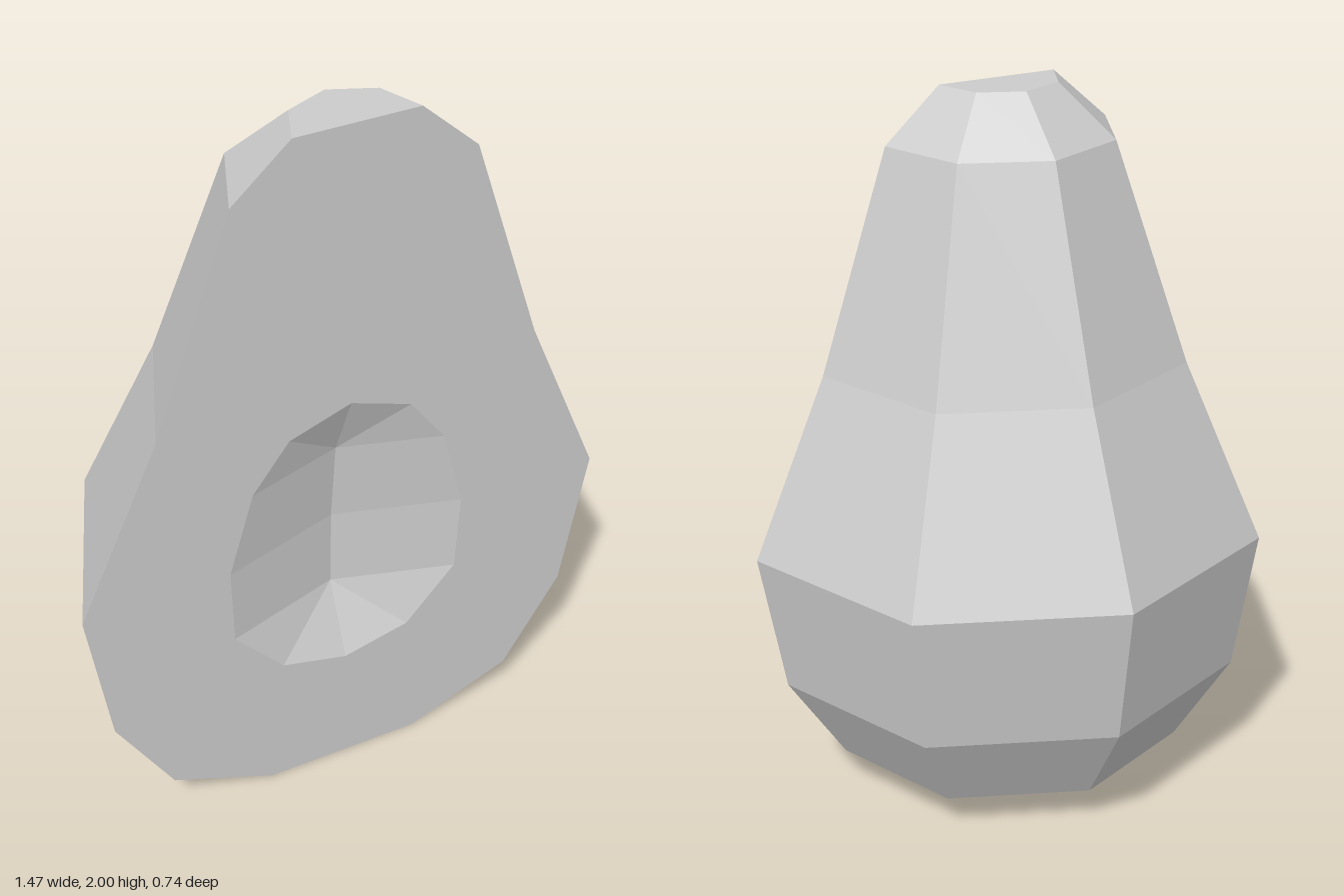
import * as THREE from 'three';

const FRONT = 0.365; // z of the flat cut face

// Radius and height of each ring of the fruit, bottom to top
const PROFILE = [[0.22, 0], [0.51, 0.12], [0.67, 0.38], [0.735, 0.78], [0.52, 1.27], [0.32, 1.86], [0.165, 2]];
// One half of the pit hollow's rim, top to bottom
const RIM = [[0, 1.215], [0.17, 1.155], [0.27, 1.02], [0.335, 0.785], [0.325, 0.56], [0.185, 0.405], [0, 0.36]];

// Closed outline: one side down the list, the mirrored side back
function mirroredOutline(points) {
  const left = points.map(([x, y]) => new THREE.Vector2(x, y));
  const right = points.filter(([x]) => x > 0).map(([x, y]) => new THREE.Vector2(-x, y)).reverse();
  return left.concat(right);
}

// Shallow hollow: facets run from the rim to a central crease
function hollowGeometry() {
  const crease = [2, 2, 2, 3, 4, 4, 4]; // rim row whose crease point each rim point joins
  const rim = (i) => [RIM[i][0], RIM[i][1], FRONT];
  const deep = (k) => [0, RIM[k][1], FRONT - 0.29 * RIM[k][0]];
  const positions = [];
  const addTriangle = (a, b, c) => {
    positions.push(...a, ...b, ...c);
    for (const [x, y, z] of [a, c, b]) positions.push(-x, y, z);
  };
  for (let i = 0; i < RIM.length - 1; i++) {
    addTriangle(deep(crease[i]), rim(i + 1), rim(i));
    if (crease[i] !== crease[i + 1]) addTriangle(deep(crease[i]), deep(crease[i + 1]), rim(i + 1));
  }
  const geometry = new THREE.BufferGeometry();
  geometry.setAttribute('position', new THREE.Float32BufferAttribute(positions, 3));
  geometry.computeVertexNormals();
  return geometry;
}

export function createModel() {
  const group = new THREE.Group();
  group.name = 'halvedAvocado';
  const material = new THREE.MeshStandardMaterial({ color: 0xcccccc, flatShading: true });
  const add = (name, geometry) => {
    const mesh = new THREE.Mesh(geometry, material);
    mesh.name = name;
    group.add(mesh);
    return mesh;
  };

  // Half of an eight-sided lathe, closed at both ends
  const section = [[0, 0], ...PROFILE, [0, 2]].map(([r, y]) => new THREE.Vector2(r, y));
  add('skin', new THREE.LatheGeometry(section, 4, Math.PI / 2, Math.PI)).position.z = FRONT;

  // Flat cut face with an opening for the pit
  const face = new THREE.Shape(mirroredOutline(PROFILE));
  face.holes.push(new THREE.Path(mirroredOutline(RIM)));
  add('cutFace', new THREE.ShapeGeometry(face)).position.z = FRONT;

  add('pitHollow', hollowGeometry());
  return group;
}
